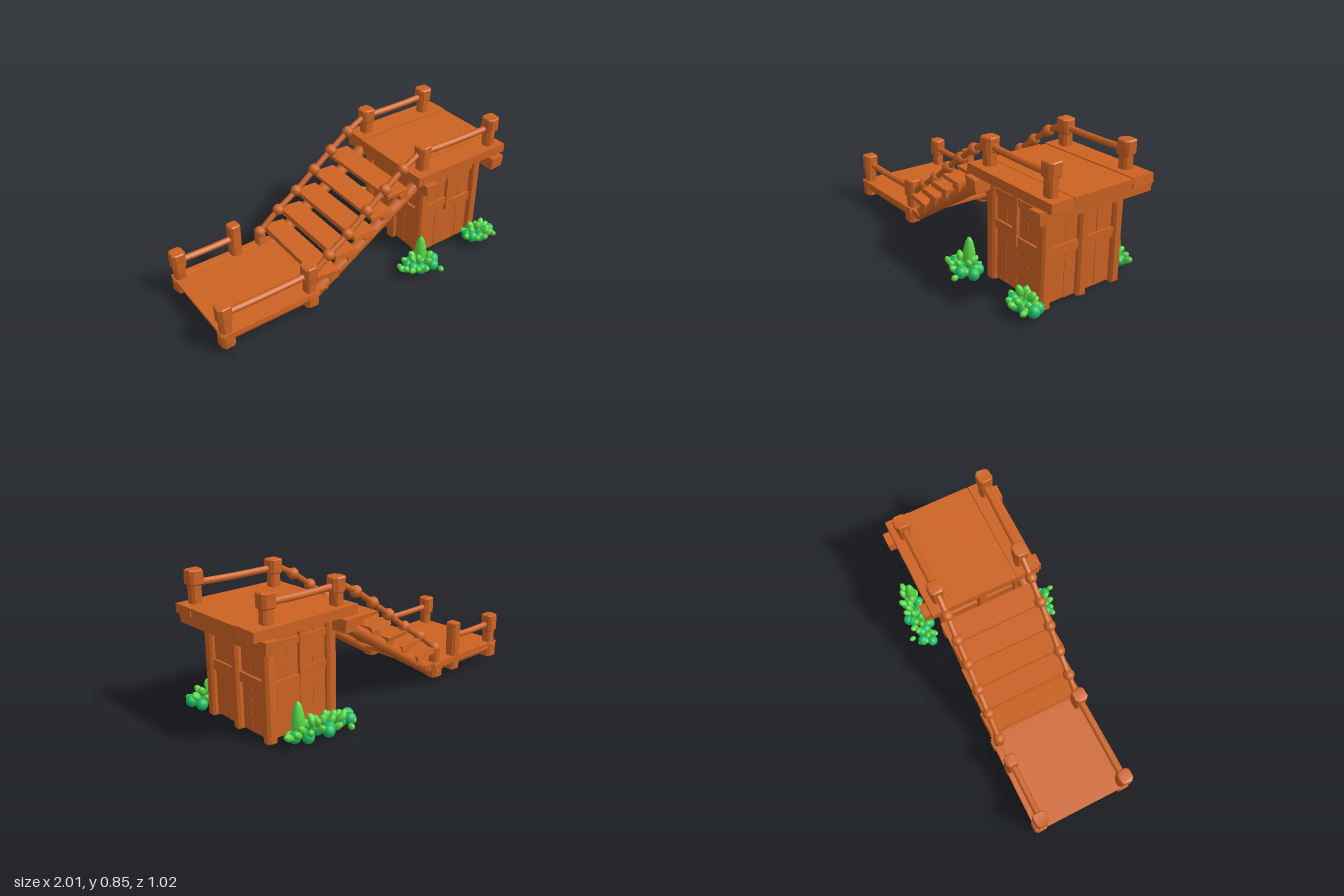
import * as THREE from 'three';
import { toCreasedNormals } from 'three/addons/utils/BufferGeometryUtils.js';

const wood = new THREE.MeshStandardMaterial({ color: 0xcc6222 });
wood.name = 'wood';
const leafGreen = new THREE.MeshStandardMaterial({ color: 0x58d846 });
leafGreen.name = 'leaf green';
const deepGreen = new THREE.MeshStandardMaterial({ color: 0x1cbe63 });
deepGreen.name = 'deep green';

let seed = 7;
const rand = () => (seed = (seed * 16807) % 2147483647) / 2147483647;
const spread = (a) => (rand() - 0.5) * 2 * a;

function add(parent, name, geo, mat, x = 0, y = 0, z = 0) {
  const m = new THREE.Mesh(geo, mat);
  m.name = name;
  m.position.set(x, y, z);
  parent.add(m);
  return m;
}

// Hand-hewn look: nudge corners by a rule that depends on position, so seams stay shut
function hew(geo, amount) {
  const p = geo.attributes.position, k = rand() * 50;
  for (let i = 0; i < p.count; i++) {
    const x = p.getX(i), y = p.getY(i), z = p.getZ(i);
    const s = x * 71 + y * 53 + z * 97 + k;
    p.setXYZ(i, x + Math.sin(s) * amount, y + Math.sin(s * 1.7) * amount, z + Math.sin(s * 2.3) * amount);
  }
  return toCreasedNormals(geo, 0.5);
}

// Box given by its limits on each axis
function plank(parent, name, [x0, x1], [y0, y1], [z0, z1], rough = 0.003) {
  const g = hew(new THREE.BoxGeometry(x1 - x0, y1 - y0, z1 - z0), rough);
  return add(parent, name, g, wood, (x0 + x1) / 2, (y0 + y1) / 2, (z0 + z1) / 2);
}

// Square log with chamfered corners, standing on y0
function log(parent, name, x, z, y0, y1, w) {
  const c = w * 0.2, h = w / 2 - c, s = new THREE.Shape();
  s.moveTo(-h, -w / 2).lineTo(h, -w / 2).lineTo(w / 2, -h).lineTo(w / 2, h);
  s.lineTo(h, w / 2).lineTo(-h, w / 2).lineTo(-w / 2, h).lineTo(-w / 2, -h).closePath();
  const b = 0.006;
  const g = new THREE.ExtrudeGeometry(s, {
    depth: y1 - y0 - 2 * b, bevelEnabled: true, bevelSegments: 1, bevelSize: b, bevelThickness: b, bevelOffset: -b,
  });
  g.rotateX(-Math.PI / 2);
  return add(parent, name, hew(g, 0.002), wood, x, y0 + b, z);
}

// Round log between two points
function beam(parent, name, a, b, r) {
  const A = new THREE.Vector3(...a), B = new THREE.Vector3(...b);
  const g = new THREE.CylinderGeometry(r, r, A.distanceTo(B), 8);
  const m = add(parent, name, toCreasedNormals(g, 0.9), wood);
  m.position.copy(A).lerp(B, 0.5);
  m.quaternion.setFromUnitVectors(new THREE.Vector3(0, 1, 0), B.sub(A).normalize());
}

function cappedPost(parent, x, z, y0, y1, capHeight, capWidth = 0.088) {
  log(parent, 'post', x, z, y0, y1 - 0.01, 0.066);
  log(parent, 'postCap', x, z, y1 - capHeight, y1, capWidth);
}

function sagRail(parent, a, b) {
  const A = new THREE.Vector3(...a), B = new THREE.Vector3(...b);
  const mid = A.clone().lerp(B, 0.5);
  mid.y -= 0.01;
  add(parent, 'rail', new THREE.TubeGeometry(new THREE.QuadraticBezierCurve3(A, mid, B), 8, 0.02, 8), wood);
}

function lowerPlatform() {
  const g = new THREE.Group();
  g.name = 'lowerPlatform';
  plank(g, 'deck', [-0.998, -0.37], [0.112, 0.138], [-0.335, 0.3]);
  for (const z of [-0.298, 0.255]) {
    beam(g, 'edgeLog', [-0.97, 0.102, z], [-0.4, 0.102, z], 0.037);
    for (const x of [-0.96, -0.41]) log(g, 'postFoot', x, z, 0.037, 0.13, 0.086);
    cappedPost(g, -0.96, z, 0.04, 0.32, 0.11, 0.084);
  }
  cappedPost(g, -0.41, 0.25, 0.04, 0.32, 0.11, 0.084);
  log(g, 'plainPost', -0.585, -0.3, 0.04, 0.35, 0.07);
  log(g, 'shortPost', -0.41, -0.297, 0.04, 0.215, 0.06);
  sagRail(g, [-0.96, 0.255, 0.25], [-0.41, 0.255, 0.25]);
  sagRail(g, [-0.96, 0.255, -0.295], [-0.585, 0.255, -0.295]);
  return g;
}

function stairs() {
  const g = new THREE.Group();
  g.name = 'stairs';
  const sides = [-0.28, 0.24];
  for (const z of sides) beam(g, 'stringer', [-0.37, 0.088, z], [0.41, 0.583, z], 0.038);
  // Treads rest on the stringers at their upper edge, held by cleats
  for (let i = 0; i < 5; i++) {
    const x = -0.372 + i * 0.125, y = 0.21 + i * 0.09;
    const t = plank(g, 'tread', [x, x + 0.155], [y - 0.013, y + 0.013], [-0.325 + spread(0.01), 0.285 + spread(0.01)]);
    t.rotation.z = -0.13 + i * 0.025;
    for (const z of sides) {
      plank(g, 'cleat', [x + 0.09, x + 0.15], [y - 0.05, y - 0.012], [z - 0.032, z + 0.042]);
    }
  }
  plank(g, 'bottomTread', [-0.38, -0.3], [0.11, 0.134], [-0.325, 0.285]);
  // Rope handrails with knots
  const knots = [[-0.41, 0.22], [-0.27, 0.33], [-0.135, 0.42], [0, 0.525], [0.127, 0.62], [0.255, 0.71], [0.4, 0.79]];
  for (const [z0, z1] of [[-0.295, -0.285], [0.25, 0.25]]) {
    const pts = knots.map(([x, y], i) => new THREE.Vector3(x, y, z0 + (z1 - z0) * i / 6));
    add(g, 'handRope', new THREE.TubeGeometry(new THREE.CatmullRomCurve3(pts), 36, 0.018, 8), wood);
    pts.slice(0, 6).forEach((p) => add(g, 'knot', new THREE.IcosahedronGeometry(0.037, 1), wood, p.x, p.y, p.z));
  }
  return g;
}

function hut() {
  const g = new THREE.Group();
  g.name = 'hut';
  // Four wall panels, open underneath
  for (const z of [-0.255, 0.225]) plank(g, 'wall', [0.43, 0.84], [0.018, 0.615], [z, z + 0.012], 0);
  for (const x of [0.43, 0.83]) plank(g, 'endWall', [x, x + 0.012], [0.018, 0.615], [-0.255, 0.237], 0);
  for (const x of [0.43, 0.845]) for (const z of [-0.26, 0.24]) log(g, 'cornerPost', x, z, 0, 0.615, 0.064);
  // Upright boards on the front and back
  for (const [z, s] of [[0.237, 1], [-0.255, -1]]) {
    const layer = (d) => (s > 0 ? [z - 0.008, z + d] : [z - d, z + 0.008]);
    for (let i = 0; i < 4; i++) {
      const x = 0.46 + i * 0.089;
      plank(g, 'wallBoard', [x, x + 0.087], [0.012, 0.6], layer(0.007), 0.001);
    }
    plank(g, 'wallMullion', [0.612, 0.652], [0.28, 0.61], layer(0.026), 0.002);
    plank(g, 'wallBrace', [0.46, 0.615], [0.325, 0.37], layer(0.02), 0.002);
    plank(g, 'wallBrace', [0.65, 0.82], [0.275, 0.335], layer(0.02), 0.002);
    plank(g, 'topBrace', [0.46, 0.82], [0.51, 0.55], layer(0.02), 0.002);
  }
  // Boards, brace and centre post on the two ends
  for (const [x, s] of [[0.842, 1], [0.43, -1]]) {
    const layer = (d) => (s > 0 ? [x - 0.008, x + d] : [x - d, x + 0.008]);
    for (let i = 0; i < 4; i++) {
      const z = -0.228 + i * 0.11;
      plank(g, 'endBoard', layer(0.007), [0.014, 0.58], [z, z + 0.108], 0.001);
    }
    plank(g, 'endBrace', layer(0.022), [0.283, 0.34], [-0.23, 0.21]);
    log(g, 'centrePost', x + s * 0.01, -0.008, 0.003, 0.6, 0.06);
  }
  return g;
}

function upperPlatform() {
  const g = new THREE.Group();
  g.name = 'upperPlatform';
  for (const x of [0.39, 0.915]) plank(g, 'crossBeam', [x - 0.043, x + 0.043], [0.538, 0.61], [-0.4, 0.37]);
  plank(g, 'sideDeck', [0.31, 0.998], [0.612, 0.665], [0.19, 0.335]);
  plank(g, 'sideDeck', [0.31, 0.998], [0.612, 0.665], [-0.36, -0.215]);
  plank(g, 'middleDeck', [0.312, 0.995], [0.615, 0.663], [-0.215, 0.19], 0.002);
  const posts = [[0.4, 0.25, 0.825], [0.915, 0.27, 0.85], [0.4, -0.288, 0.825], [0.865, -0.29, 0.83]];
  for (const [x, z, top] of posts) cappedPost(g, x, z, 0.6, top, 0.085);
  sagRail(g, [0.4, 0.772, 0.25], [0.915, 0.775, 0.265]);
  sagRail(g, [0.4, 0.772, -0.288], [0.865, 0.772, -0.29]);
  return g;
}

// Low bush: round deep leaves below, bright oval leaves above, optional tall spire
function bush(x, z, rx, rz, count, spire) {
  const g = new THREE.Group();
  g.name = 'bush';
  const ball = new THREE.SphereGeometry(1, 12, 9);
  for (let i = 0; i < count; i++) {
    const a = i * 2.4, r = Math.sqrt((i + 0.5) / count);
    const dark = i % 3 === 0;
    const y = dark ? 0.045 + rand() * 0.02 : 0.04 + rand() * 0.03 + (1 - r) * 0.085;
    const m = add(g, dark ? 'roundLeaf' : 'ovalLeaf', ball, dark ? deepGreen : leafGreen,
      x + Math.cos(a) * rx * r, y, z + Math.sin(a) * rz * r);
    if (dark) m.scale.set(0.035, 0.036, 0.034);
    else {
      m.scale.set(0.021, 0.034, 0.02);
      m.rotation.set(Math.sin(a) * 1.1 * r, 0, -Math.cos(a) * 1.1 * r);
    }
  }
  if (spire) {
    const pts = [[0, 0.03], [0.03, 0.06], [0.037, 0.11], [0.033, 0.165], [0.022, 0.215], [0.01, 0.238], [0, 0.245]];
    add(g, 'spire', new THREE.LatheGeometry(pts.map((p) => new THREE.Vector2(...p)), 12), leafGreen, spire[0], 0, spire[1]);
  }
  return g;
}

export function createModel() {
  const model = new THREE.Group();
  model.name = 'stairBridge';
  model.add(lowerPlatform(), stairs(), hut(), upperPlatform());
  model.add(bush(0.325, 0.37, 0.115, 0.075, 26, [0.345, 0.35]));
  model.add(bush(0.83, 0.355, 0.095, 0.07, 22));
  model.add(bush(0.61, -0.395, 0.235, 0.065, 38, [0.75, -0.375]));
  // Stray leaves on the ground
  const ball = new THREE.SphereGeometry(1, 10, 8);
  for (const [x, y, z] of [[0.4, 0.055, 0.485], [0.48, 0.05, -0.49], [0.43, 0.06, -0.45], [0.91, 0.06, 0.42], [0.22, 0.04, 0.31]]) {
    add(model, 'strayLeaf', ball, leafGreen, x, y, z).scale.set(0.016, 0.018, 0.022);
  }
  return model;
}
